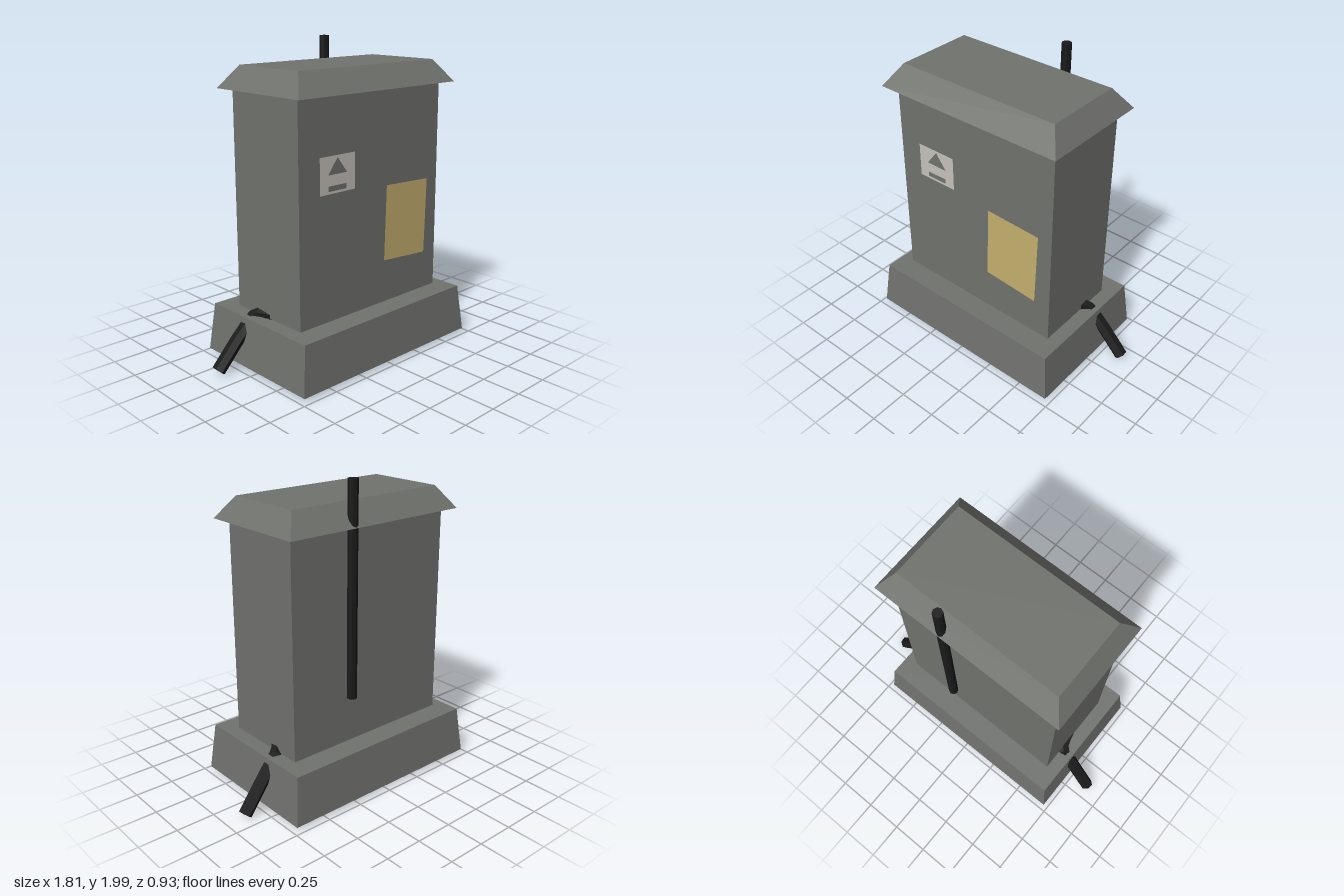
import * as THREE from 'three';

export function createModel() {
  const model = new THREE.Group();
  const mat = (name, color, extra = {}) => {
    const m = new THREE.MeshStandardMaterial({ color, ...extra });
    m.name = name;
    return m;
  };
  const grey = mat('cabinetGrey', 0x70726e, { flatShading: true, side: THREE.DoubleSide });
  const black = mat('cableBlack', 0x1a1a1a, { flatShading: true, side: THREE.DoubleSide });
  const white = mat('labelWhite', 0xc6c2ba, { side: THREE.DoubleSide });
  const yellow = mat('paperYellow', 0xc4af6e, { side: THREE.DoubleSide });

  const add = (name, geometry, material, x = 0, y = 0, z = 0) => {
    const mesh = new THREE.Mesh(geometry, material);
    mesh.name = name;
    mesh.position.set(x, y, z);
    model.add(mesh);
    return mesh;
  };

  // Box whose bottom and top half-sizes differ; the underside can be left open
  const taperedBox = (y0, y1, [bx, bz], [tx, tz], open = false) => {
    const g = new THREE.BoxGeometry(2, 2, 2);
    const p = g.attributes.position;
    for (let i = 0; i < p.count; i++) {
      const top = p.getY(i) > 0;
      p.setXYZ(i, p.getX(i) * (top ? tx : bx), top ? y1 : y0, p.getZ(i) * (top ? tz : bz));
    }
    if (open) {
      const { start, count } = g.groups[3];
      g.setIndex(Array.from(g.index.array).filter((_, i) => i < start || i >= start + count));
    }
    g.clearGroups();
    g.computeVertexNormals();
    return g;
  };

  // Cabinet: hollow plinth, body and hipped roof
  add('plinth', taperedBox(0.03, 0.34, [0.72, 0.467], [0.687, 0.437], true), grey);
  add('body', taperedBox(0.345, 1.72, [0.597, 0.295], [0.597, 0.295]), grey);
  add('roof', taperedBox(1.72, 1.86, [0.655, 0.373], [0.563, 0.265]), grey);

  // Conduit running up the back
  add('backConduit', new THREE.CylinderGeometry(0.031, 0.031, 1.34, 8), black, 0.185, 1.33, -0.34);

  // Cable looping inside the plinth and leaving through both sides
  const v = (x, y, z) => new THREE.Vector3(x, y, z);
  const side = (s) => [
    v(s * 0.873, 0.033, -0.155), v(s * 0.79, 0.133, -0.147),
    v(s * 0.70, 0.238, -0.137), v(s * 0.60, 0.335, -0.115),
  ];
  const path = new THREE.CatmullRomCurve3([
    ...side(1), v(0.48, 0.37, 0.02), v(0.22, 0.36, 0.18), v(-0.05, 0.35, 0.23),
    v(-0.22, 0.39, 0.23), v(-0.36, 0.36, 0.23), v(-0.5, 0.37, 0.17), v(-0.55, 0.35, 0.04),
    ...side(-1).reverse(),
  ]);
  add('groundCable', new THREE.TubeGeometry(path, 60, 0.043, 6), black);
  for (const t of [0, 1]) {
    const end = path.getPointAt(t);
    const cap = add('cableEnd', new THREE.CircleGeometry(0.043, 6), black, end.x, end.y, end.z);
    const out = path.getTangentAt(t).multiplyScalar(t ? 1 : -1);
    cap.lookAt(end.clone().add(out));
  }

  // Warning label with a cut-out triangle and bar
  const outline = (Type, pts) => new Type(pts.map(([x, y]) => new THREE.Vector2(x, y)));
  const label = outline(THREE.Shape, [[-0.44, 1.14], [-0.16, 1.14], [-0.16, 1.365], [-0.44, 1.365]]);
  label.holes.push(
    outline(THREE.Path, [[-0.376, 1.253], [-0.3, 1.352], [-0.224, 1.253]]),
    outline(THREE.Path, [[-0.373, 1.155], [-0.373, 1.187], [-0.23, 1.187], [-0.23, 1.155]]),
  );
  add('warningLabel', new THREE.ShapeGeometry(label), white, 0, 0, 0.299);

  // Slightly crooked paper notice
  const notice = outline(THREE.Shape, [[0.105, 0.625], [0.485, 0.597], [0.5, 1.097], [0.12, 1.113]]);
  add('paperNotice', new THREE.ShapeGeometry(notice), yellow, 0, 0, 0.299);

  return model;
}
